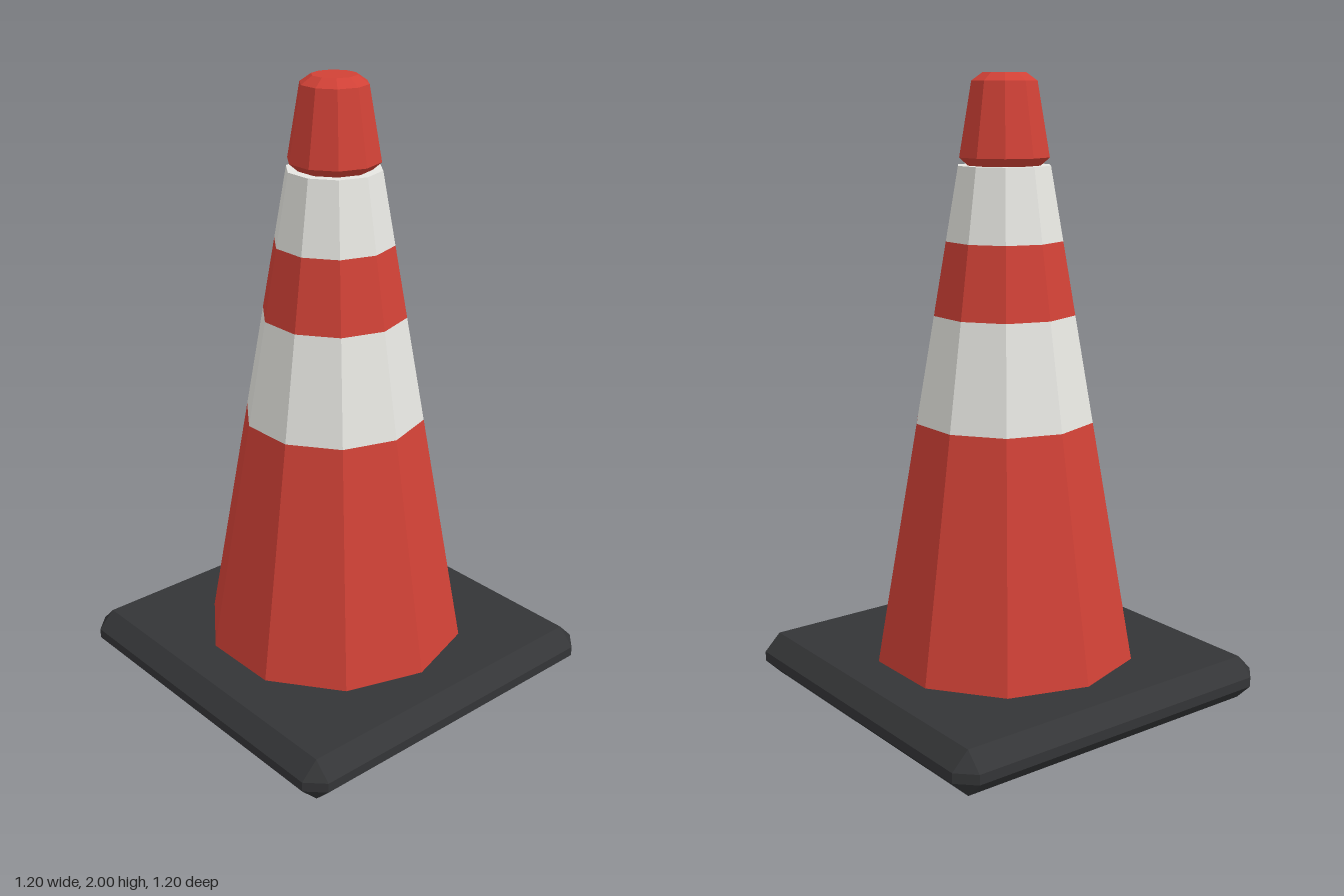
import * as THREE from 'three';
import { ConvexGeometry } from 'three/addons/geometries/ConvexGeometry.js';

const SIDES = 10;
const paint = (color) => new THREE.MeshStandardMaterial({ color, flatShading: true });

export function createModel() {
  const model = new THREE.Group();
  const red = paint(0xd04136), white = paint(0xe6e6e1), black = paint(0x343537);

  const add = (name, geometry, material) => {
    const mesh = new THREE.Mesh(geometry, material);
    mesh.name = name;
    model.add(mesh);
  };

  // Ten-sided tapered section between two heights
  const section = (name, y0, y1, r0, r1, material, open = true) => {
    const geometry = new THREE.CylinderGeometry(r1, r0, y1 - y0, SIDES, 1, open);
    geometry.translate(0, (y0 + y1) / 2, 0);
    add(name, geometry, material);
  };

  // Square base slab with all edges chamfered
  const half = 0.6, height = 0.142, bevel = 0.055, inner = half - bevel;
  const corners = [];
  for (const sx of [-1, 1]) for (const sz of [-1, 1]) for (const top of [0, 1]) {
    const yFace = top * height;
    const ySide = top ? height - bevel : bevel;
    corners.push(
      new THREE.Vector3(sx * inner, yFace, sz * inner),
      new THREE.Vector3(sx * half, ySide, sz * inner),
      new THREE.Vector3(sx * inner, ySide, sz * half),
    );
  }
  add('base', new ConvexGeometry(corners), black);

  // Cone body: alternating red and white bands on one straight taper
  const levels = [0.14, 0.92, 1.26, 1.49, 1.72];
  const names = ['lowerBody', 'wideStripe', 'middleBody', 'narrowStripe'];
  const radius = (y) => THREE.MathUtils.mapLinear(y, 0.14, 1.72, 0.43, 0.15);
  names.forEach((name, i) => {
    const y0 = levels[i], y1 = levels[i + 1];
    section(name, y0, y1, radius(y0), radius(y1), i % 2 ? white : red, i < 3);
  });

  // Tip: tapered cap with chamfered rims
  section('tipLowerRim', 1.72, 1.745, 0.117, 0.146, red);
  section('tip', 1.745, 1.975, 0.146, 0.106, red);
  section('tipUpperRim', 1.975, 2, 0.106, 0.07, red, false);

  return model;
}
